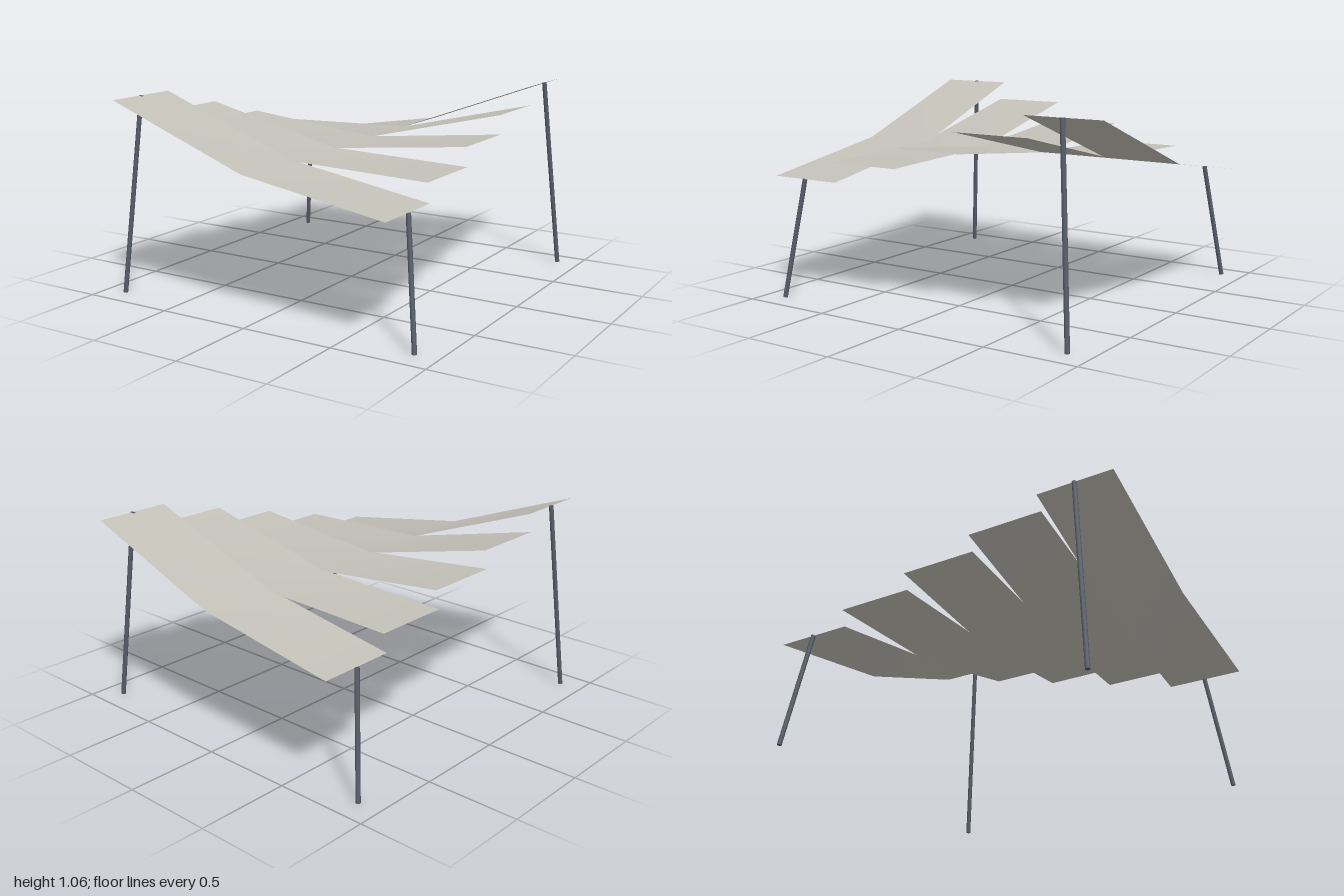
import * as THREE from 'three';

const HALF_X = 0.79, MID_Y = 0.765, LOW = 0.637, HIGH = 1.057;
const STRIP_WIDTH = 0.42, STRIP_STEP = 0.395;

const fabric = new THREE.MeshStandardMaterial({ color: 0xc2c0b7, side: THREE.DoubleSide });
fabric.name = 'pale fabric';
const steel = new THREE.MeshStandardMaterial({ color: 0x565c68 });
steel.name = 'slate steel';

// Thin strip folded at its middle, each end raised to its own height
function makeStrip(leftY, rightY) {
  const geo = new THREE.PlaneGeometry(2 * HALF_X, STRIP_WIDTH, 2, 1).rotateX(-Math.PI / 2);
  const pos = geo.attributes.position;
  for (let i = 0; i < pos.count; i++) {
    const x = pos.getX(i);
    pos.setY(i, Math.abs(x) < 0.01 ? MID_Y : x > 0 ? leftY : rightY);
  }
  geo.computeVertexNormals();
  return new THREE.Mesh(geo, fabric);
}

// Round pole leaning in from its foot to a canopy corner
function makePole(sx, sz, height) {
  const foot = new THREE.Vector3(sx * 0.877, 0.002, sz * 0.877);
  const top = new THREE.Vector3(sx * HALF_X, height, sz * HALF_X);
  const dir = top.clone().sub(foot);
  const pole = new THREE.Mesh(new THREE.CylinderGeometry(0.0125, 0.0125, dir.length(), 10), steel);
  pole.position.copy(foot).add(top).multiplyScalar(0.5);
  pole.quaternion.setFromUnitVectors(new THREE.Vector3(0, 1, 0), dir.normalize());
  return pole;
}

export function createModel() {
  const model = new THREE.Group();
  model.name = 'shadeCanopy';

  // Five strips from front to back; the ends climb in opposite directions
  const canopy = new THREE.Group();
  canopy.name = 'canopy';
  for (let i = 0; i < 5; i++) {
    const t = i / 4;
    const strip = makeStrip(THREE.MathUtils.lerp(LOW, HIGH, t), THREE.MathUtils.lerp(HIGH, LOW, t));
    strip.position.z = (2 - i) * STRIP_STEP;
    strip.name = `canopyStrip${i + 1}`;
    canopy.add(strip);
  }
  model.add(canopy);

  // Two tall and two short poles on opposite diagonals
  for (const sx of [-1, 1]) {
    for (const sz of [-1, 1]) {
      const pole = makePole(sx, sz, sx * sz < 0 ? HIGH : LOW);
      pole.name = `${sz > 0 ? 'front' : 'back'}${sx > 0 ? 'Left' : 'Right'}Pole`;
      model.add(pole);
    }
  }
  return model;
}
